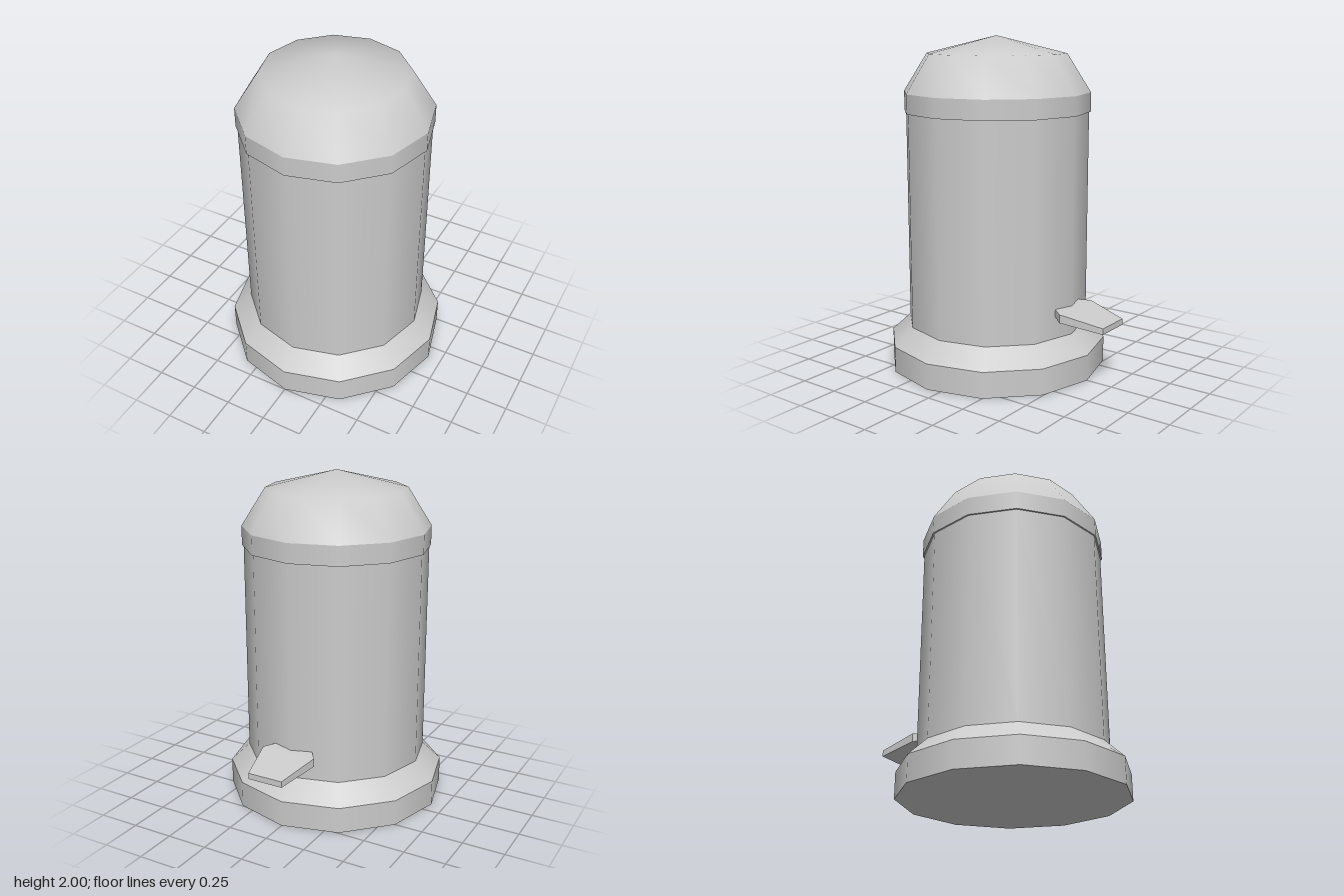
import * as THREE from 'three';

const SIDES = 12;
const CENTRE_Z = 0.083; // the round body sits forward of the plate at the back

export function createModel() {
  const model = new THREE.Group();
  const material = new THREE.MeshStandardMaterial({ color: 0xcccccc });
  const flat = new THREE.MeshStandardMaterial({ color: 0xcccccc, flatShading: true });

  // One turned band; bands are separate so the edges between them stay sharp
  function turned(name, ...profile) {
    const points = profile.map(([r, y]) => new THREE.Vector2(r, y));
    const mesh = new THREE.Mesh(new THREE.LatheGeometry(points, SIDES), material);
    mesh.name = name;
    mesh.position.z = CENTRE_Z;
    model.add(mesh);
    return mesh;
  }

  // Base and body
  turned('baseUnderside', [0, 0], [0.667, 0]);
  turned('baseRim', [0.667, 0], [0.667, 0.157]);
  turned('baseSlope', [0.667, 0.157], [0.553, 0.265]);
  turned('body', [0.553, 0.265], [0.553, 1.555]);

  // Lid: underside lip, collar and faceted dome
  turned('lidLip', [0.553, 1.555], [0.563, 1.555]);
  turned('lidCollar', [0.563, 1.555], [0.563, 1.67]);
  const dome = turned('lidDome', [0.563, 1.67], [0.42, 1.897], [0, 2]);

  // Smooth the tip of the dome
  const normals = dome.geometry.attributes.normal;
  for (let i = 2; i < normals.count; i += 3) normals.setXYZ(i, 0, 1, 0);

  // Pedal: a sloping plate, widest near the body; half width, bottom, top, z
  const sections = [
    [0.125, 0.398, 0.442, -0.437],
    [0.172, 0.385, 0.435, -0.497],
    [0.11, 0.35, 0.386, -0.75],
  ];
  const plate = new THREE.BoxGeometry(2, 2, 1, 1, 1, 2);
  const pos = plate.attributes.position;
  for (let i = 0; i < pos.count; i++) {
    const [half, bottom, top, z] = sections[Math.round((0.5 - pos.getZ(i)) * 2)];
    pos.setXYZ(i, pos.getX(i) * half, pos.getY(i) > 0 ? top : bottom, z);
  }
  plate.computeVertexNormals();
  const pedal = new THREE.Mesh(plate, flat);
  pedal.name = 'pedal';
  model.add(pedal);

  return model;
}
